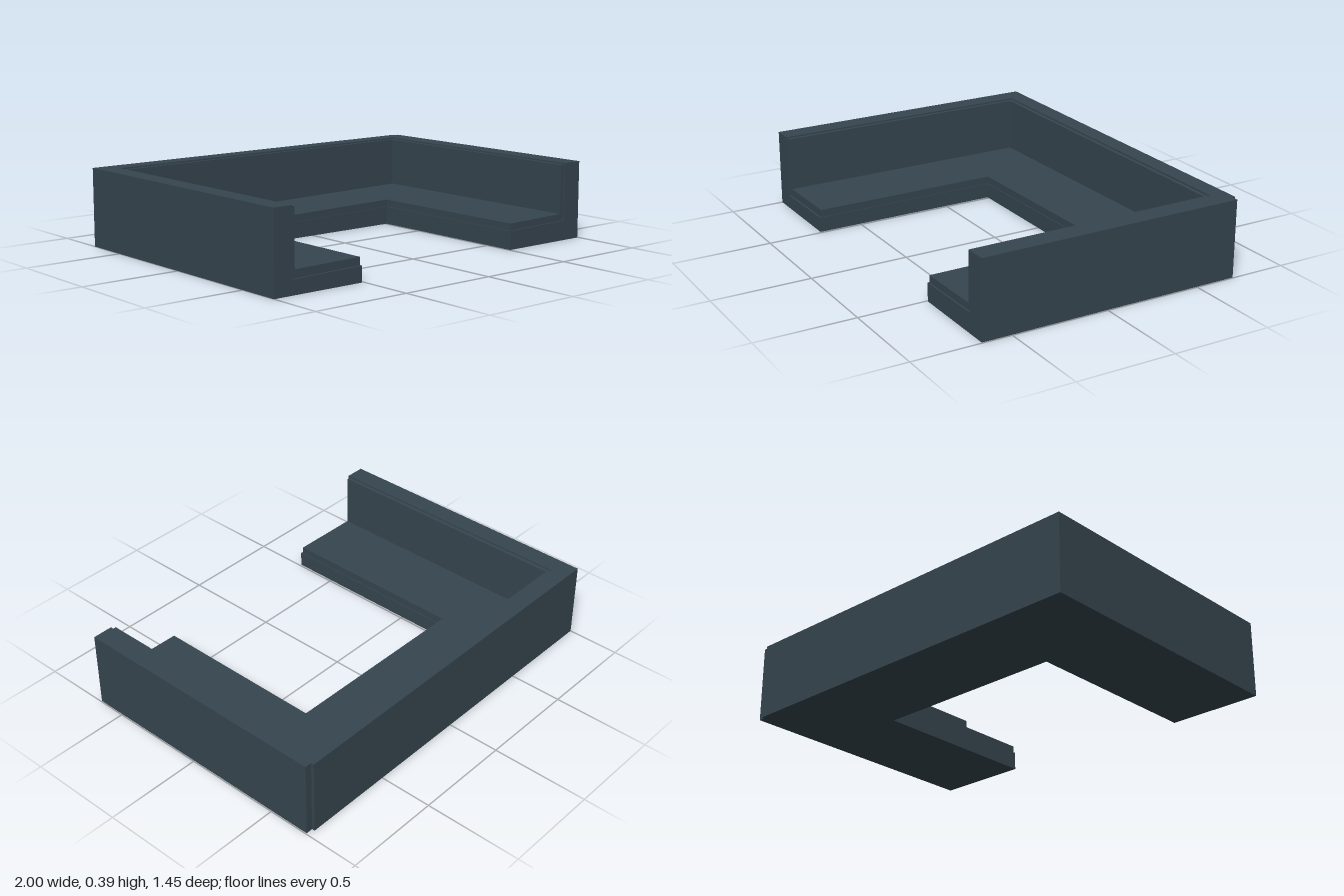
import * as THREE from 'three';

const fabric = new THREE.MeshStandardMaterial({ color: 0x36454f, flatShading: true });

// Prism over an [x, z] outline; bottom and top heights are functions of x.
function slab(name, outline, bottom, top) {
  const shape = new THREE.Shape(outline.map(([x, z]) => new THREE.Vector2(x, -z)));
  const geo = new THREE.ExtrudeGeometry(shape, { depth: 1, bevelEnabled: false });
  geo.rotateX(-Math.PI / 2);
  const p = geo.attributes.position;
  for (let i = 0; i < p.count; i++) {
    const x = p.getX(i);
    p.setY(i, p.getY(i) > 0.5 ? top(x) : bottom(x));
  }
  geo.computeVertexNormals();
  const mesh = new THREE.Mesh(geo, fabric);
  mesh.name = name;
  return mesh;
}

// U-shaped outline: outer and inner rectangles open to the front.
function uShape(outer, inner, endL, endR) {
  return [
    [outer.l, endL], [inner.l, endL], [inner.l, inner.b], [inner.r, inner.b],
    [inner.r, endR], [outer.r, endR], [outer.r, outer.b], [outer.l, outer.b],
  ];
}

export function createModel() {
  const group = new THREE.Group();
  group.name = 'uShapedSofa';
  const level = (y) => () => y;
  const baseTop = (x) => 0.085 + 0.0165 * x;
  const seatTop = (x) => 0.1225 + 0.014 * x;

  const wallInner = { l: -0.9, r: 0.89, b: -0.637 };
  const padInner = { l: -0.88, r: 0.868, b: -0.617 };
  const opening = { l: -0.51, r: 0.505, b: -0.255 };

  // Backrest and arms, with the small step at the back corner
  const wall = uShape({ l: -1, r: 0.995, b: -0.727 }, wallInner, 0.722, 0.65);
  wall.splice(6, 1, [0.995, -0.712], [0.96, -0.712], [0.96, -0.727]);
  group.add(slab('backrest', wall, level(0), level(0.392)));

  // Plinth under the seat
  group.add(slab('seatBase', uShape(wallInner, opening, 0.722, 0.65), level(0), baseTop));

  // Gently sloping seat cushion, set in a little from the plinth edges
  const seatEdge = { l: -0.515, r: 0.51, b: -0.26 };
  group.add(slab('seatCushion', uShape(wallInner, seatEdge, 0.712, 0.642), baseTop, seatTop));

  // Thin padding lining the inside of the backrest
  group.add(slab('backPadding', uShape(wallInner, padInner, 0.712, 0.642), seatTop, level(0.384)));

  return group;
}
